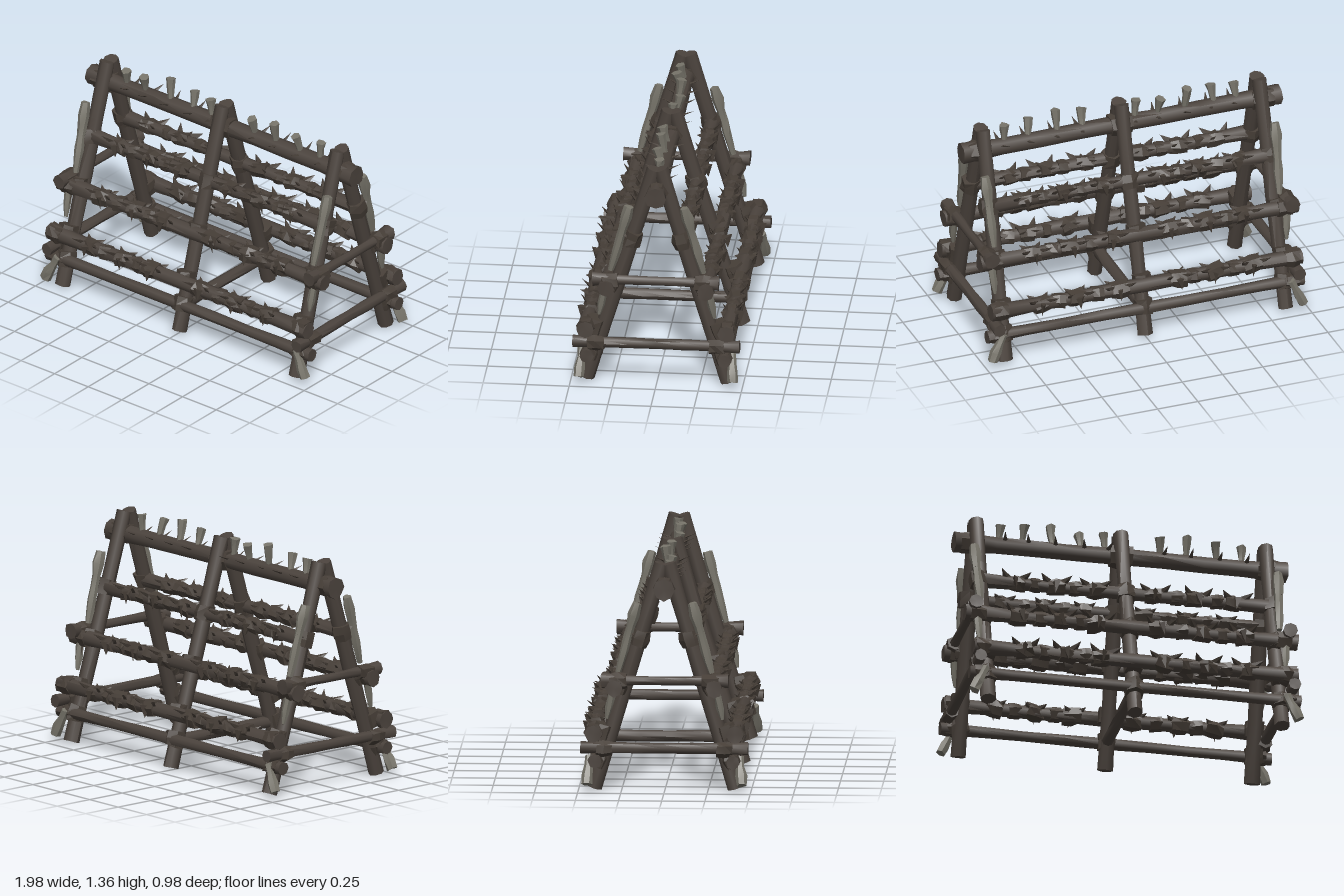
import * as THREE from 'three';
import { toCreasedNormals } from 'three/addons/utils/BufferGeometryUtils.js';

const UP = new THREE.Vector3(0, 1, 0);
const V = (x, y, z) => new THREE.Vector3(x, y, z);

export function createModel() {
  const model = new THREE.Group();
  model.name = 'spikedRack';
  const material = (name, color) => {
    const m = new THREE.MeshStandardMaterial({ color });
    m.name = name;
    return m;
  };
  const wood = material('darkWood', 0x4b433d);
  const binding = material('binding', 0x463e37);
  const bone = material('weatheredBone', 0x77746a);

  let seed = 7;
  const rnd = () => {
    seed = (seed * 16807) % 2147483647;
    return seed / 2147483647;
  };
  const vary = (a) => (rnd() * 2 - 1) * a;

  // Rough pole from a to b; radii are spaced evenly along its length
  function pole(name, mat, a, b, radii, sides = 8, rough = 0.07, crease = 0.9) {
    const rings = radii.length - 1;
    const length = a.distanceTo(b);
    const geo = new THREE.CylinderGeometry(1, 1, 1, sides, rings);
    const pos = geo.attributes.position;
    const offsets = radii.map(() => Array.from({ length: sides }, () => [1 + vary(rough), vary(rough)]));
    for (let i = 0; i < pos.count; i++) {
      const x = pos.getX(i), z = pos.getZ(i);
      const ring = Math.round((pos.getY(i) + 0.5) * rings);
      const side = (Math.round(Math.atan2(x, z) / (2 * Math.PI) * sides) + sides) % sides;
      const [scale, slide] = offsets[ring][side];
      const r = radii[ring] * scale;
      const atRim = Math.hypot(x, z) > 0.5 ? slide * radii[ring] : 0;
      pos.setXYZ(i, x * r, pos.getY(i) * length + atRim, z * r);
    }
    const mesh = new THREE.Mesh(toCreasedNormals(geo, crease), mat);
    mesh.name = name;
    mesh.position.copy(a).lerp(b, 0.5);
    mesh.quaternion.setFromUnitVectors(UP, b.clone().sub(a).normalize());
    model.add(mesh);
    return mesh;
  }

  // Flat pointed splinter
  function thorn(base, dir, length, width) {
    const mesh = new THREE.Mesh(toCreasedNormals(new THREE.ConeGeometry(width, length, 4), 0.2), binding);
    mesh.name = 'thorn';
    mesh.scale.z = 0.45;
    const d = dir.clone().normalize();
    mesh.quaternion.setFromUnitVectors(UP, d);
    mesh.position.copy(base).addScaledVector(d, length / 2);
    model.add(mesh);
  }

  // Jagged lashing around a pole
  const wrap = (name, c, dir, half, r, rough = 0.16) => pole(name, binding,
    c.clone().addScaledVector(dir, -half), c.clone().addScaledVector(dir, half), [r, r * 1.08, r], 6, rough, 0.2);

  const legZ = (y) => 0.41 - 0.3 * y;
  const rails = [
    { y: 0.17, z: 0.40, r: 0.033, end: 0.98 },
    { y: 0.33, z: 0.41, r: 0.042, end: 0.96, spiked: true },
    { y: 0.60, z: 0.29, r: 0.042, end: 0.985, spiked: true },
    { y: 0.88, z: 0.145, r: 0.038, end: 0.85, spiked: true },
  ];

  for (const s of [1, -1]) {
    // Three pairs of leaning legs
    for (const x of [-0.87, 0, 0.87]) {
      pole('leg', wood, V(x, 0.003, s * legZ(0)), V(x * 0.985, 1.315, s * legZ(1.315)),
        [0.046, 0.043, 0.045, 0.043, 0.045], 8, 0.05);
    }
    for (const { y, z, r, end, spiked } of rails) {
      // Long rails with splayed ends
      pole('rail', wood, V(-end, y, s * z), V(end, y, s * z),
        [r * 1.2, r, r * 0.95, r, r * 1.03, r, r * 0.95, r, r * 1.2], 8, 0.07);
      // Lashings where rails meet legs
      for (const x of [-0.87, 0, 0.87]) {
        const c = V(x, y, s * (z + legZ(y)) / 2);
        wrap('legLashing', c, V(0, 1, -0.3 * s).normalize(), 0.045, 0.056, 0.12);
        if (end > 0.9 && x) {
          wrap('railLashing', V(x * 1.04, y, s * z), V(1, 0, 0), 0.045, r * 1.25, 0.12);
        }
      }
      if (!spiked) continue;
      // Spiked bindings along the rail
      for (const x of [-0.66, -0.42, -0.19, 0.17, 0.42, 0.65]) {
        const tilt = V(1, vary(0.18), vary(0.25)).normalize();
        wrap('railBinding', V(x + vary(0.02), y, s * z), tilt, 0.05, r * 1.13);
        for (const k of [-1, 1]) {
          thorn(V(x + k * 0.045, y + r * 0.5, s * (z + r * 0.5)),
            V(k * 0.8 + vary(0.3), 0.55, s * (0.75 + vary(0.2))), 0.075, 0.026);
          thorn(V(x + k * 0.03, y + r * 0.4, s * (z - r * 0.6)), V(k * 0.8, 0.5, -s * 0.8), 0.055, 0.022);
        }
        thorn(V(x, y + r * 0.5, s * (z + r * 1.05)), V(vary(0.3), -1, s * 0.12), 0.075, 0.034);
      }
      // Flat scraps tied between the bindings
      for (const x of [-0.54, -0.3, 0.3, 0.54]) {
        wrap('scrap', V(x, y, s * z), V(1, 0.1, vary(0.3)).normalize(), 0.035, r * 1.04, 0.1);
      }
    }
    // Bones lashed to the end frames
    for (const e of [1, -1]) {
      pole('upperBone', bone, V(e * 0.885, 0.68, s * 0.27), V(e * 0.9, 1.09, s * 0.16),
        [0.016, 0.024, 0.027, 0.024, 0.026, 0.035, 0.027], 6, 0.14, 0.4);
      pole('middleBone', bone, V(e * 0.905, 0.41, s * 0.335), V(e * 0.915, 0.61, s * 0.295),
        [0.010, 0.022, 0.023, 0.03], 6, 0.16, 0.4);
      pole('lowerBone', bone, V(e * 0.965, 0.035, s * 0.45), V(e * 0.89, 0.19, s * 0.435),
        [0.032, 0.033, 0.023, 0.024], 6, 0.16, 0.4);
      // Torn splinters by the bones
      thorn(V(e * 0.9, 0.55, s * 0.31), V(0, -1, s * 0.2), 0.15, 0.018);
      thorn(V(e * 0.89, 0.9, s * 0.17), V(e * 0.3, 0.5, s), 0.07, 0.022);
      wrap('cornerLashing', V(e * 0.93, 0.24, s * 0.35), V(0, 0, 1), 0.045, 0.043);
      wrap('middleLashing', V(e * 0.93, 0.635, s * 0.27), V(0, 0, 1), 0.05, 0.045);
    }
  }

  // Cross beams tying front and back legs
  for (const e of [1, -1]) {
    pole('lowerCrossBeam', wood, V(e * 0.93, 0.245, -0.485), V(e * 0.93, 0.245, 0.485),
      [0.038, 0.032, 0.034, 0.031, 0.033, 0.032, 0.037]);
    pole('upperCrossBeam', wood, V(e * 0.93, 0.64, -0.365), V(e * 0.93, 0.64, 0.37),
      [0.048, 0.03, 0.027, 0.026, 0.027, 0.031, 0.043]);
  }
  pole('centreCrossBeam', wood, V(0, 0.16, -0.36), V(0, 0.16, 0.36), [0.036, 0.034, 0.033, 0.035, 0.036]);

  // Ridge beam and its lashings
  pole('ridgeBeam', wood, V(-0.985, 1.18, 0), V(0.985, 1.18, 0),
    [0.064, 0.05, 0.049, 0.05, 0.052, 0.05, 0.049, 0.051, 0.065]);
  for (const x of [-0.88, 0, 0.88]) {
    wrap('ridgeLashing', V(x, 1.18, 0), V(1, 0, 0), 0.065, 0.062, 0.1);
  }

  // Bone pegs and thorns along the ridge
  const pegs = [[-0.71, 1.31], [-0.57, 1.32], [-0.41, 1.345], [-0.24, 1.32], [-0.1, 1.325],
    [0.23, 1.32], [0.39, 1.345], [0.56, 1.32], [0.72, 1.32]];
  for (const [x, top] of pegs) {
    pole('ridgePeg', bone, V(x - vary(0.015), 1.2, 0), V(x, top - 0.005, vary(0.035)),
      [0.018, 0.019, 0.024, 0.03], 6, 0.14, 0.4);
    for (const s of [1, -1]) {
      thorn(V(x + 0.02, 1.2, s * 0.04), V(vary(0.3), 0.4, s), 0.075, 0.014);
    }
  }
  return model;
}
